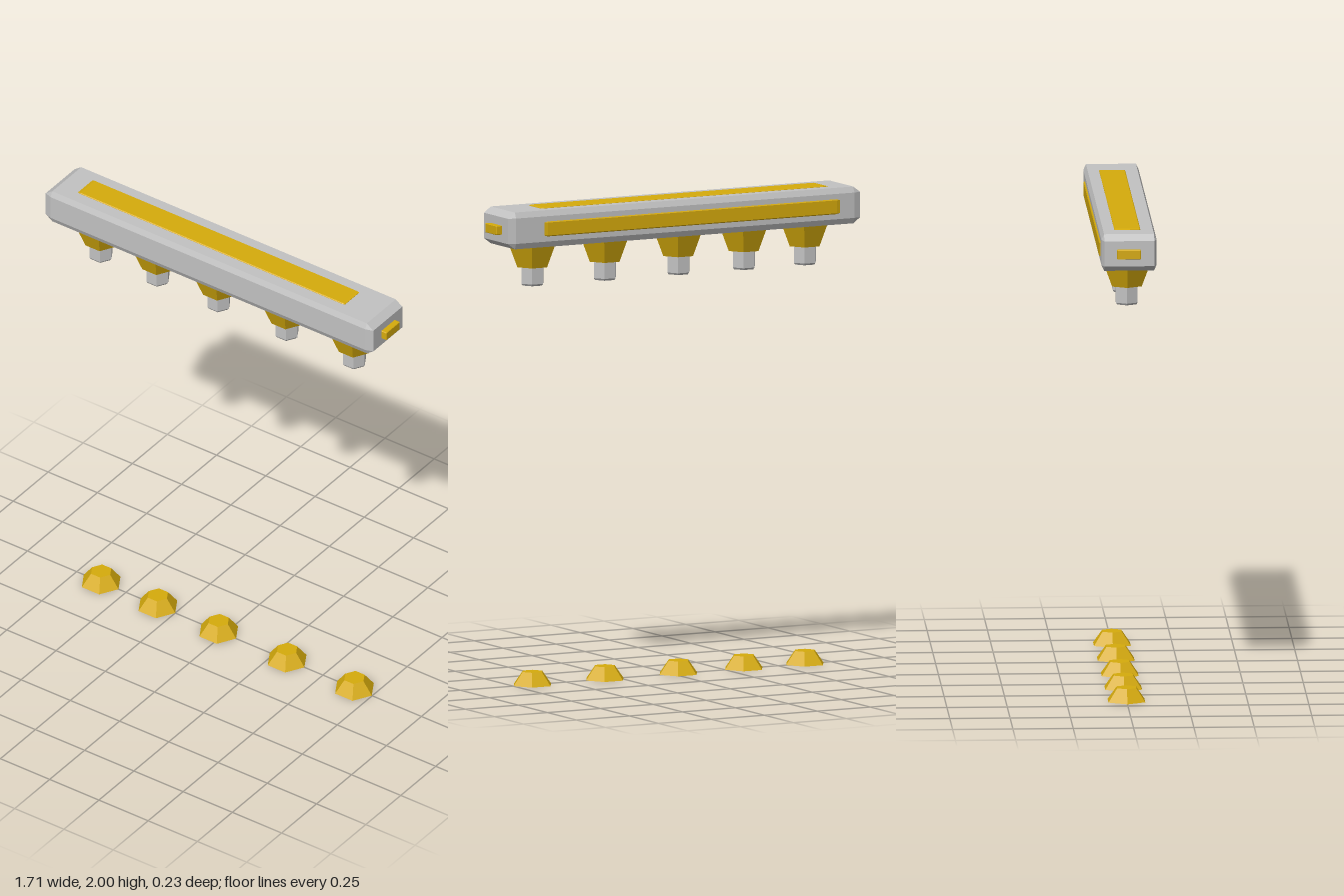
import * as THREE from 'three';
import { ConvexGeometry } from 'three/addons/geometries/ConvexGeometry.js';

const steel = new THREE.MeshStandardMaterial({ color: 0xc2c2c2 });
steel.name = 'steel grey';
steel.flatShading = true;
const gold = new THREE.MeshStandardMaterial({ color: 0xd6ab0c, side: THREE.DoubleSide });
gold.name = 'gold';
gold.flatShading = true;

// Box between two corners with every edge chamfered by its own inset per axis
function bevelBox(name, min, max, inset, material) {
  const points = [];
  const half = min.map((v, i) => (max[i] - v) / 2);
  const mid = min.map((v, i) => (max[i] + v) / 2);
  for (const sx of [-1, 1]) for (const sy of [-1, 1]) for (const sz of [-1, 1]) {
    const sign = [sx, sy, sz];
    for (let face = 0; face < 3; face++) {
      points.push(new THREE.Vector3(...sign.map((s, i) =>
        mid[i] + s * (half[i] - (i === face ? 0 : inset[i])))));
    }
  }
  const mesh = new THREE.Mesh(new ConvexGeometry(points), material);
  mesh.name = name;
  return mesh;
}

// Six-sided turned part, corners pointing along x; profile runs bottom to top
function hexPart(name, profile, material, x) {
  const points = profile.map(([r, y]) => new THREE.Vector2(r, y));
  const geometry = new THREE.LatheGeometry(points, 6, Math.PI / 2).toNonIndexed();
  geometry.computeVertexNormals();
  const mesh = new THREE.Mesh(geometry, material);
  mesh.name = name;
  mesh.position.x = x;
  return mesh;
}

export function createModel() {
  const model = new THREE.Group();
  model.name = 'emitterBar';

  // Long housing and its raised strips
  model.add(bevelBox('housing', [-0.832, 1.842, -0.112], [0.831, 1.996, 0.117],
    [0.033, 0.024, 0.011], steel));
  model.add(bevelBox('topStrip', [-0.707, 1.985, -0.054], [0.648, 2, 0.054],
    [0.012, 0.003, 0.003], gold));
  model.add(bevelBox('backStrip', [-0.728, 1.888, -0.118], [0.664, 1.95, -0.1],
    [0.014, 0.004, 0.003], gold));

  // Small plugs on both ends
  for (const [name, a, b] of [['leftPlug', 0.82, 0.857], ['rightPlug', -0.858, -0.82]]) {
    model.add(bevelBox(name, [a, 1.899, -0.049], [b, 1.937, 0.049], [0.002, 0.002, 0.003], gold));
  }

  // Unevenly spaced nozzles, each above an open-bottomed floor cap
  for (const x of [-0.626, -0.338, -0.029, 0.318, 0.66]) {
    model.add(hexPart('nozzleCone', [[0, 1.75], [0.071, 1.75], [0.109, 1.843], [0, 1.843]], gold, x));
    model.add(hexPart('nozzleTip',
      [[0, 1.672], [0.046, 1.672], [0.052, 1.68], [0.052, 1.755], [0, 1.755]], steel, x));
    model.add(hexPart('floorCap', [[0.088, 0], [0.046, 0.056], [0, 0.056]], gold, x));
  }
  return model;
}
